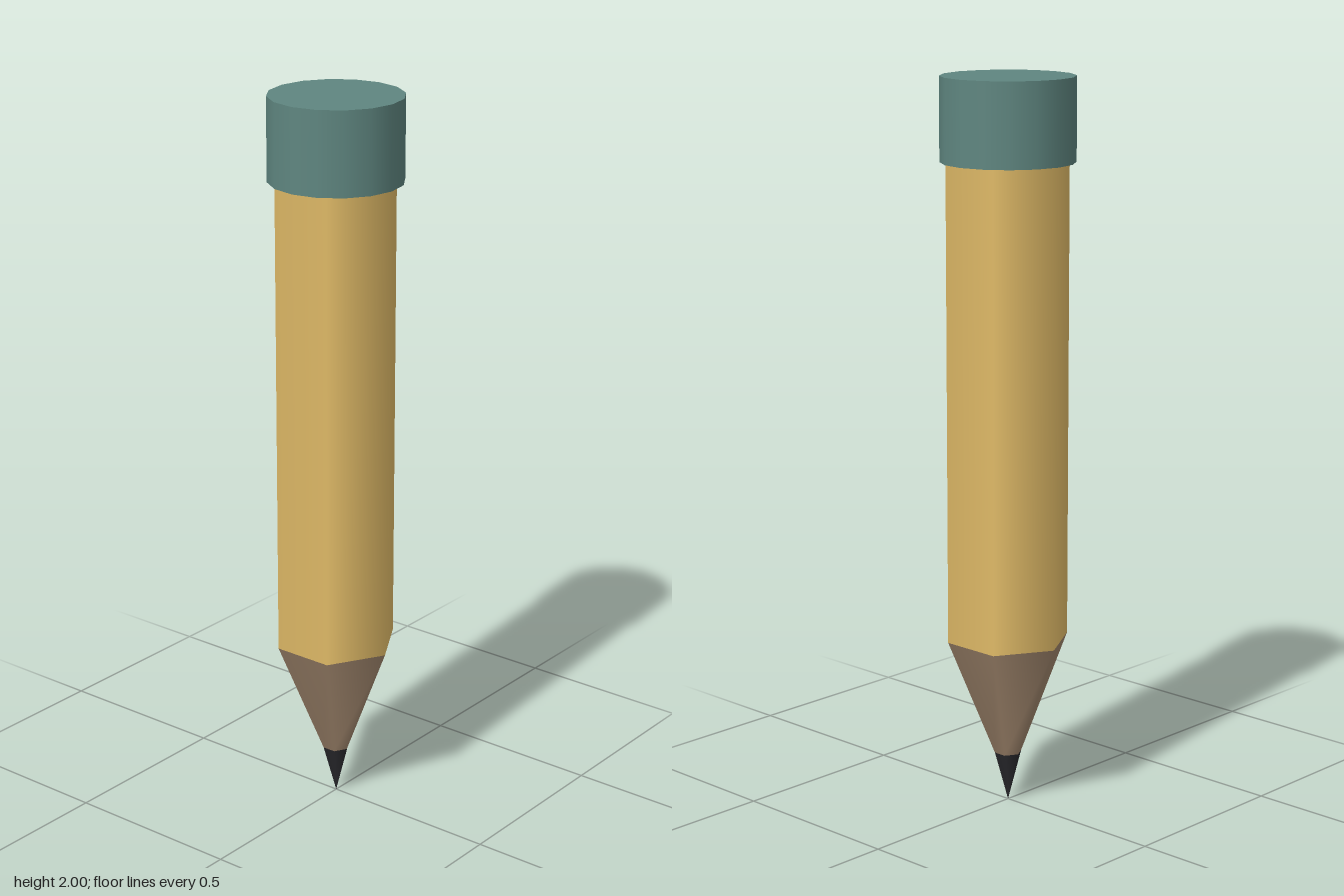
import * as THREE from 'three';

export function createModel() {
  const pencil = new THREE.Group();
  pencil.name = 'pencil';

  // Adds a cylinder or cone section spanning y0 to y1
  function section(name, color, rTop, rBottom, y0, y1, sides) {
    const geometry = new THREE.CylinderGeometry(rTop, rBottom, y1 - y0, sides);
    const mesh = new THREE.Mesh(geometry, new THREE.MeshStandardMaterial({ color }));
    mesh.name = name;
    mesh.position.y = (y0 + y1) / 2;
    pencil.add(mesh);
  }

  // Six-sided shaft with its sharpened wood and lead
  section('shaft', 0xe2bc68, 0.17, 0.17, 0.47, 1.775, 6);
  section('sharpenedWood', 0xa58a70, 0.17, 0.038, 0.14, 0.47, 6);
  section('leadTip', 0x2a2a2e, 0.038, 0, 0, 0.14, 6);

  // Round eraser cap
  section('eraserCap', 0x5f8680, 0.18, 0.18, 1.775, 2, 16);

  return pencil;
}
